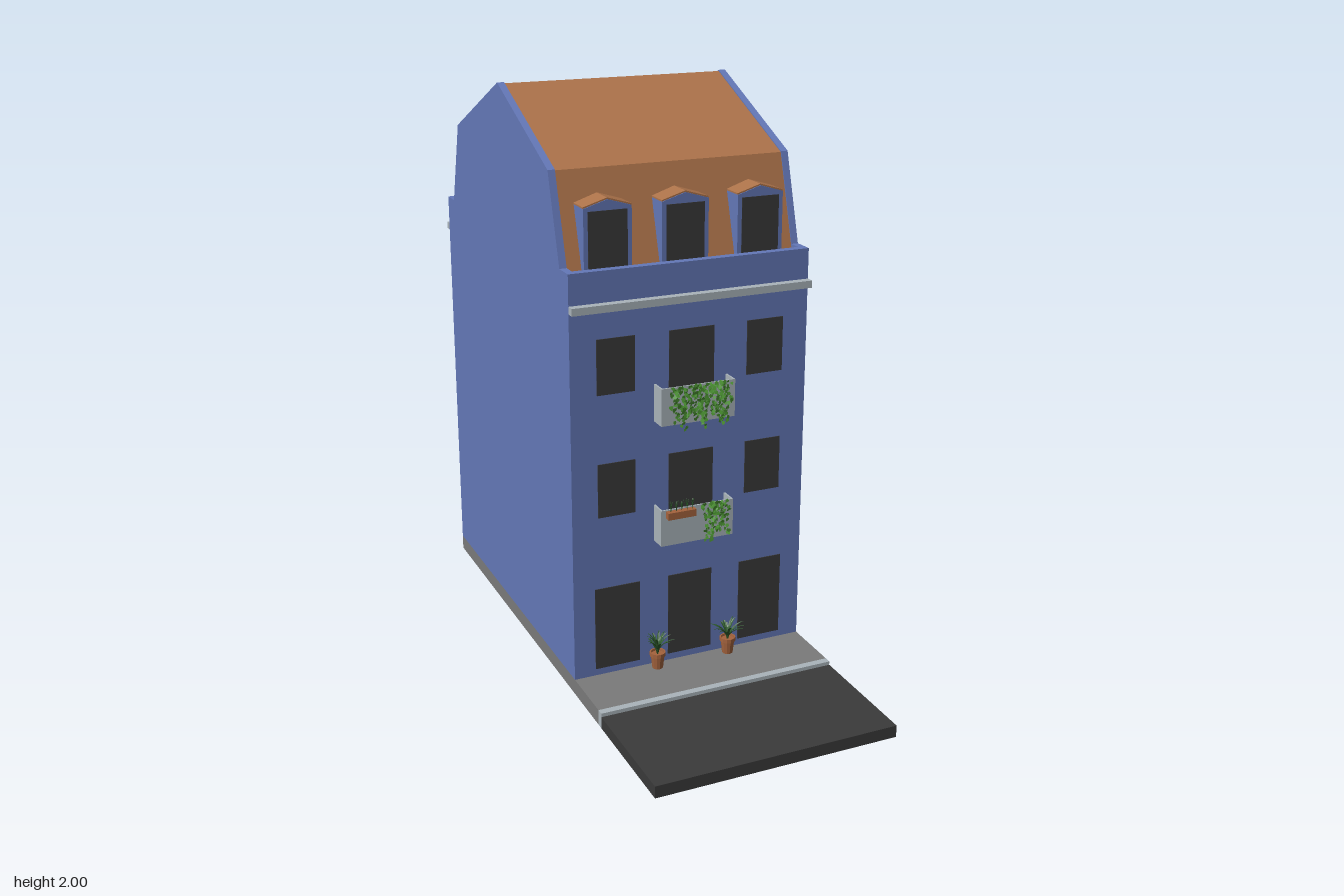
import * as THREE from 'three';
import { mergeGeometries } from 'three/addons/utils/BufferGeometryUtils.js';

const mat = (color, side = THREE.FrontSide) =>
  new THREE.MeshStandardMaterial({ color, side, flatShading: true });
const wallMat = mat(0x6478b8), roofMat = mat(0xad734a), darkMat = mat(0x3a3a3a);
const trimMat = mat(0xaab4ba), paveMat = mat(0x7a7a7a), potMat = mat(0xa4633d);
const ivyMat = mat(0x4f9a35, THREE.DoubleSide), plantMat = mat(0x2c5a2a, THREE.DoubleSide);
const MID_Z = -0.3225; // centre plane of the house, front to back

// Small seeded generator for the foliage
function seeded(seed) {
  return () => {
    seed = (seed * 16807) % 2147483647;
    return seed / 2147483647;
  };
}

function add(parent, name, geo, material) {
  const mesh = new THREE.Mesh(geo, material);
  mesh.name = name;
  parent.add(mesh);
  return mesh;
}

// Box given by its limits on each axis
function box(parent, name, material, x0, x1, y0, y1, z0, z1) {
  const mesh = add(parent, name, new THREE.BoxGeometry(x1 - x0, y1 - y0, z1 - z0), material);
  mesh.position.set((x0 + x1) / 2, (y0 + y1) / 2, (z0 + z1) / 2);
  return mesh;
}

const shapeOf = (pts) => new THREE.Shape(pts.map(([x, y]) => new THREE.Vector2(x, y)));
const extrude = (pts, depth) =>
  new THREE.ExtrudeGeometry(shapeOf(pts), { depth, bevelEnabled: false });

// Side profile (z, y) extruded along x, centred on cx
function sideSlab(parent, name, material, pts, width, cx) {
  const geo = extrude(pts, width).translate(0, 0, -width / 2).rotateY(-Math.PI / 2);
  add(parent, name, geo, material).position.x = cx;
}

// Mirror a half profile (distance from the centre plane, y) to a full one
const mirrorProfile = (half) => [
  ...half.map(([d, y]) => [MID_Z + d, y]),
  ...half.slice().reverse().filter(([d]) => d > 0).map(([d, y]) => [MID_Z - d, y]),
];

// Gabled dormer, front face at z = 0, running back towards -z
function dormer() {
  const g = new THREE.Group();
  g.name = 'dormer';
  const wall = [[-0.083, 1.43], [0.083, 1.43], [0.083, 1.675], [0, 1.7], [-0.083, 1.675]];
  add(g, 'dormerWall', extrude(wall, 0.11).translate(0, 0, -0.11), wallMat);
  const cap = [[-0.083, 1.675], [0, 1.7], [0.083, 1.675], [0.083, 1.68], [0, 1.705], [-0.083, 1.68]];
  add(g, 'dormerRoof', extrude(cap, 0.107).translate(0, 0, -0.11), roofMat);
  box(g, 'dormerWindow', darkMat, -0.068, 0.068, 1.45, 1.665, -0.01, 0.002);
  return g;
}

// Open-topped balcony with thin panels
function balcony(y) {
  const g = new THREE.Group();
  g.name = 'balcony';
  box(g, 'balconyFloor', wallMat, -0.13, 0.13, y, y + 0.01, 0.325, 0.38);
  box(g, 'balconyFront', trimMat, -0.135, 0.133, y + 0.003, y + 0.133, 0.379, 0.385);
  for (const x of [-0.135, 0.127])
    box(g, 'balconySide', trimMat, x, x + 0.006, y + 0.003, y + 0.133, 0.325, 0.379);
  return g;
}

// Hanging ivy: leaves scattered along strands draped over a panel
function ivy(x0, x1, top, minDrop, maxDrop, strands, seed) {
  const rnd = seeded(seed), leaves = [];
  const leaf = [[0, -0.009], [0.007, 0.001], [0.004, 0.008], [0, 0.006], [-0.004, 0.008], [-0.007, 0.001]];
  for (let s = 0; s < strands; s++) {
    const x = x0 + ((s + 0.5) / strands) * (x1 - x0);
    const drop = minDrop + (maxDrop - minDrop) * rnd();
    const count = Math.ceil(drop / 0.0085);
    for (let i = 0; i < count; i++) {
      const size = 0.7 + 0.5 * rnd();
      leaves.push(new THREE.ShapeGeometry(shapeOf(leaf)).scale(size, size, size)
        .rotateX((rnd() - 0.5) * 1.1).rotateY((rnd() - 0.5) * 1.2).rotateZ((rnd() - 0.5) * 1.8)
        .translate(x + (rnd() - 0.5) * 0.022, top - (i / count) * drop, 0.388 + rnd() * 0.006));
    }
  }
  return mergeGeometries(leaves);
}

// Arching blades spreading from a centre point
function blades(count, reach, height, width, seed) {
  const rnd = seeded(seed), parts = [];
  for (let i = 0; i < count; i++) {
    const k = 0.55 + 0.45 * rnd(), r = reach * k, h = height * (1.35 - 0.55 * k);
    const geo = new THREE.PlaneGeometry(1, 1, 2, 5);
    const p = geo.attributes.position;
    for (let v = 0; v < p.count; v++) {
      const t = p.getY(v) + 0.5, u = p.getX(v);
      const w = width * (0.35 + 1.6 * t) * (1 - t);
      p.setXYZ(v, r * Math.pow(t, 1.4), h * (1.6 * t - 0.7 * t * t) + Math.abs(u) * w * 0.5, u * w);
    }
    geo.computeVertexNormals();
    parts.push(geo.rotateY((i / count) * Math.PI * 2 + rnd() * 0.4));
  }
  return mergeGeometries(parts);
}

function pottedPlant(seed) {
  const g = new THREE.Group();
  g.name = 'pottedPlant';
  const profile = [[0, 0], [0.019, 0], [0.024, 0.046], [0.028, 0.046], [0.028, 0.06], [0.023, 0.06], [0.022, 0.052], [0, 0.052]];
  add(g, 'pot', new THREE.LatheGeometry(profile.map(([x, y]) => new THREE.Vector2(x, y)), 12), potMat);
  add(g, 'leaves', blades(14, 0.07, 0.08, 0.017, seed), plantMat).position.y = 0.05;
  return g;
}

export function createModel() {
  const model = new THREE.Group();
  model.name = 'townHouse';

  // Ground
  box(model, 'road', darkMat, -0.43, 0.43, 0, 0.042, 0.565, 1);
  box(model, 'pavement', paveMat, -0.43, 0.43, 0, 0.055, -0.97, 0.54);
  box(model, 'kerb', trimMat, -0.43, 0.43, 0, 0.055, 0.54, 0.565);

  // House body, gable walls and mansard roof
  box(model, 'body', wallMat, -0.405, 0.405, 0.055, 1.42, -0.97, 0.325);
  const gable = mirrorProfile([
    [0.6475, 0.055], [0.6475, 1.485], [0.5725, 1.485], [0.4825, 1.785], [0, 2]]);
  for (const side of [-1, 1]) sideSlab(model, 'gableWall', wallMat, gable, 0.025, side * 0.4175);
  const roof = mirrorProfile([[0.595, 1.4], [0.48, 1.782], [0, 1.996]]);
  sideSlab(model, 'roof', roofMat, roof, 0.81, 0);

  // Parapet, cornice and dormers, front and back
  for (const dir of [1, -1]) {
    const face = new THREE.Group();
    face.name = dir > 0 ? 'frontEaves' : 'backEaves';
    face.position.z = MID_Z;
    if (dir < 0) face.rotation.y = Math.PI;
    box(face, 'parapet', wallMat, -0.405, 0.405, 1.42, 1.485, 0.6175, 0.6475);
    box(face, 'cornice', trimMat, -0.43, 0.43, 1.355, 1.38, 0.6475, 0.6765);
    for (const x of [-0.272, 0, 0.272]) {
      const d = dormer();
      d.position.set(x, 0, 0.594);
      face.add(d);
    }
    model.add(face);
  }

  // Doors and windows
  for (const x of [-0.271, 0, 0.271])
    box(model, 'door', darkMat, x - 0.082, x + 0.082, 0.08, 0.38, 0.32, 0.328);
  for (const y of [0.64, 1.07]) {
    for (const x of [-0.271, 0.271])
      box(model, 'window', darkMat, x - 0.067, x + 0.067, y, y + 0.19, 0.32, 0.328);
    box(model, 'balconyDoor', darkMat, -0.082, 0.082, y - 0.105, y + 0.19, 0.32, 0.328);
    model.add(balcony(y - 0.12));
  }

  // Greenery on the balconies
  add(model, 'upperIvy', ivy(-0.1, 0.115, 1.08, 0.08, 0.165, 17, 11), ivyMat);
  add(model, 'lowerIvy', ivy(0.02, 0.11, 0.652, 0.05, 0.145, 8, 29), ivyMat);
  box(model, 'planter', potMat, -0.118, -0.015, 0.625, 0.65, 0.386, 0.408);
  for (let i = 0; i < 5; i++)
    add(model, 'planterSprig', blades(6, 0.014, 0.042, 0.005, 40 + i * 7), plantMat)
      .position.set(-0.105 + i * 0.02, 0.648, 0.397);

  // Potted plants by the entrance
  for (const side of [-1, 1]) {
    const plant = pottedPlant(60 + side * 13);
    plant.position.set(side * 0.135, 0.055, 0.357);
    model.add(plant);
  }
  return model;
}
